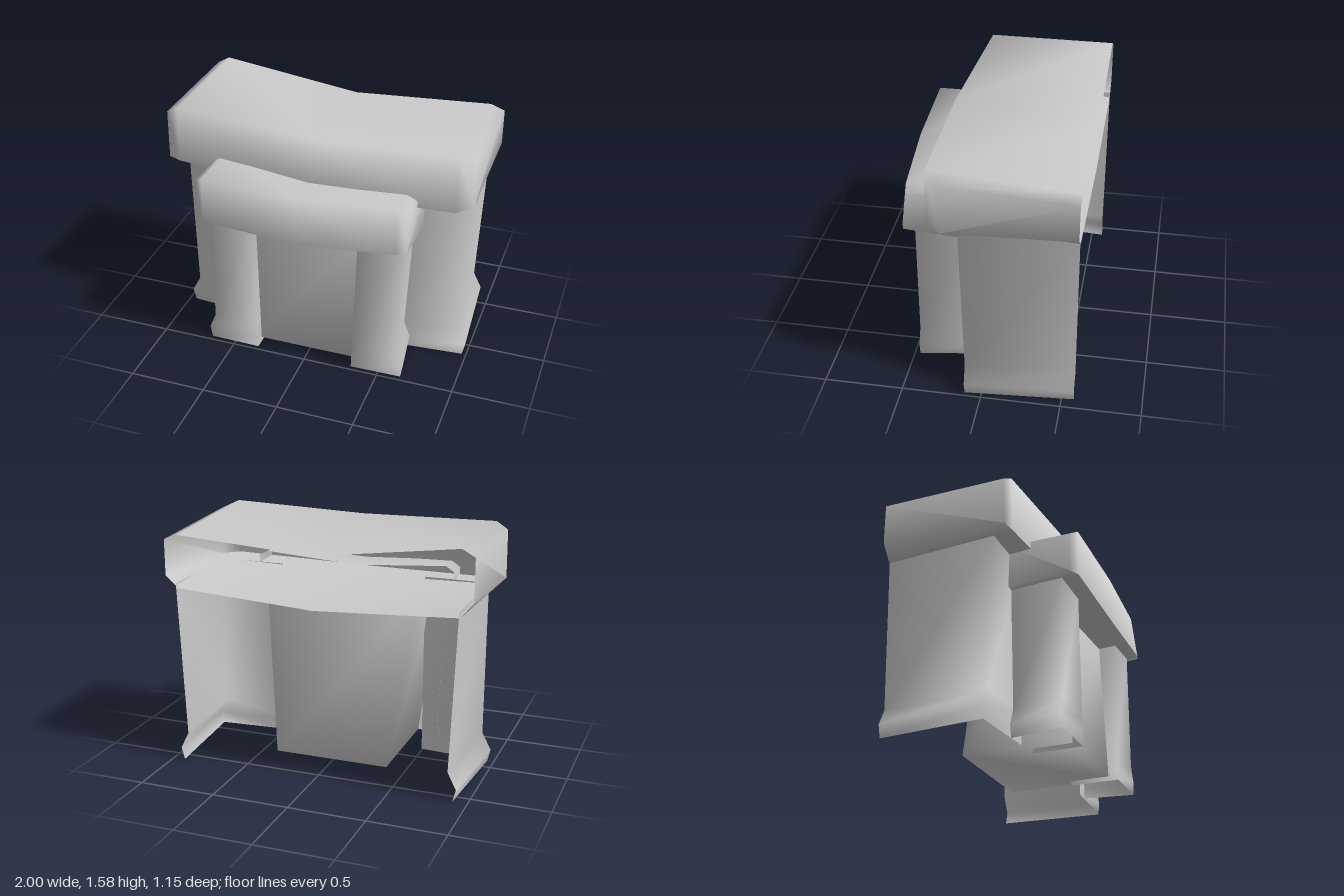
import * as THREE from 'three';
import { mergeVertices } from 'three/addons/utils/BufferGeometryUtils.js';

const stone = new THREE.MeshStandardMaterial({ color: 0xcccccc, side: THREE.DoubleSide });
stone.name = 'stone';

// Smooth skin over rows of points; capped closes the first and last rows
function skin(rows, capped = false) {
  const n = rows[0].length, index = [];
  for (let i = 0; i < rows.length - 1; i++) {
    for (let j = 0; j < n - 1; j++) {
      const a = i * n + j, b = a + n;
      index.push(a, a + 1, b + 1, a, b + 1, b);
    }
  }
  if (capped) {
    const e = (rows.length - 1) * n;
    for (let j = 1; j < n - 1; j++) index.push(0, j + 1, j, e, e + j, e + j + 1);
  }
  const geo = new THREE.BufferGeometry();
  geo.setAttribute('position', new THREE.Float32BufferAttribute(rows.flat(2), 3));
  geo.setIndex(index);
  geo.computeVertexNormals();
  return geo;
}

// Sagging slab, open at the back, with a crease along the lower front edge.
// Station: x, front top, front bottom, front z, lean, drop of back top, drop of back bottom
function lintel(stations, back) {
  return skin(stations.map(([x, top, bottom, front, lean, topDrop, bottomDrop]) => [
    [x, top - topDrop, back],
    [x, top, front - lean],
    [x, bottom, front],
    [x, bottom, front],
    [x, bottom - bottomDrop, back],
  ]), true);
}

// Pillar skin with a flared foot; plan(t, outer, flare) gives [x, z] from inside to outside
function pillar(side, top, outer, foot, dx, plan) {
  const levels = [[0, foot * 0.7], [0.08, foot], [0.19, 0], [top, 0]];
  return skin(levels.map(([y, flare]) => {
    const row = plan(y / top, outer, flare).map(([x, z]) => [side * x + dx, y, z]);
    return side < 0 ? row.reverse() : row;
  }));
}

// Block filling the doorway, wider and shallower towards the top
function doorwayBlock() {
  let geo = new THREE.BoxGeometry(0.765, 1.12, 0.7);
  geo.deleteAttribute('normal');
  geo.deleteAttribute('uv');
  geo = mergeVertices(geo);
  const p = geo.attributes.position;
  for (let i = 0; i < p.count; i++) {
    if (p.getY(i) < 0) continue;
    p.setX(i, p.getX(i) * 1.39);
    p.setZ(i, p.getZ(i) > 0 ? 0.29 : -0.13);
  }
  geo.computeVertexNormals();
  return geo;
}

export function createModel() {
  const group = new THREE.Group();
  const add = (name, geo) => {
    const mesh = new THREE.Mesh(geo, stone);
    mesh.name = name;
    group.add(mesh);
    return mesh;
  };

  // Rear and front lintels
  add('rearLintel', lintel([
    [-1, 1.53, 1.215, 0.24, 0.01, 0, -0.05],
    [-0.92, 1.575, 1.205, 0.26, 0.01, 0, 0.04],
    [0, 1.545, 1.19, 0.335, 0.01, 0.09, 0.075],
    [0.91, 1.575, 1.21, 0.325, 0.01, 0.062, 0.04],
    [1, 1.53, 1.215, 0.22, 0, 0.05, -0.03],
  ], -0.577));
  add('frontLintel', lintel([
    [-0.685, 1.25, 0.995, 0.53, 0, 0, 0.03],
    [-0.63, 1.285, 0.985, 0.57, 0, 0, 0.02],
    [-0.02, 1.26, 0.945, 0.577, 0.01, 0.02, 0.01],
    [0.61, 1.28, 0.985, 0.545, 0.035, 0, 0.02],
    [0.675, 1.25, 0.995, 0.525, 0.03, 0, 0.03],
  ], 0.13));

  for (const side of [-1, 1]) {
    const label = side > 0 ? 'left' : 'right';
    // Rear pillars: a front face and a deep outer wall
    add(label + 'RearPillar', pillar(side, 1.2, 0.922, 0.06, 0.008, (t, outer, flare) => [
      [0.5, 0.14],
      [outer + flare, 0.105 + 0.03 * t],
      [outer - 0.05 * (1 - t) + flare, -0.577],
    ]));
    // Front pillars: narrow, three-sided
    add(label + 'FrontPillar', pillar(side, 1.0, 0.628, 0.045, -0.01, (t, outer, flare) => [
      [0.325 + 0.035 * t, 0.15],
      [0.325 + 0.035 * t, 0.47],
      [outer + flare, 0.465],
      [outer - 0.05 * (1 - t) + flare, 0.13],
    ]));
  }

  add('doorBlock', doorwayBlock()).position.set(-0.005, 0.59, 0.055);

  return group;
}
